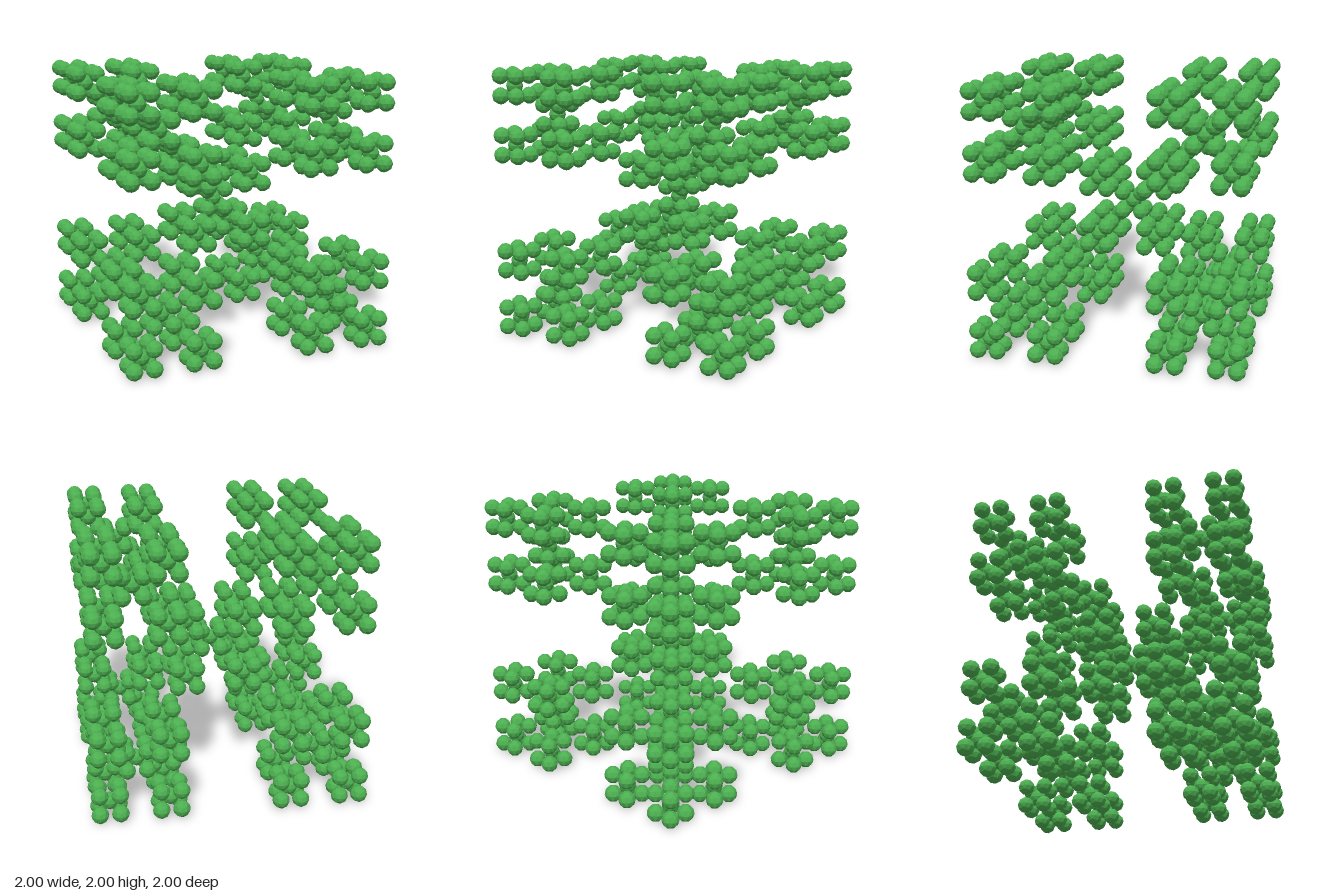
import * as THREE from 'three';
import { mergeGeometries } from 'three/addons/utils/BufferGeometryUtils.js';

// Neighbouring balls touch along the cube diagonals; the whole fits a 2-unit cube.
const STEP_PER_RADIUS = 2 / Math.sqrt(3);
const RADIUS = 1 / (13 * STEP_PER_RADIUS + 1);
const STEP = RADIUS * STEP_PER_RADIUS;

// Centre plus the eight corners of a cube
const OFFSETS = [new THREE.Vector3(0, 0, 0)];
for (const x of [-1, 1])
  for (const y of [-1, 1])
    for (const z of [-1, 1]) OFFSETS.push(new THREE.Vector3(x, y, z));

// Repeats the nine-point pattern, three times smaller at each level
function fractalPoints(center, step, levels) {
  if (levels === 0) return [center];
  return OFFSETS.flatMap((o) =>
    fractalPoints(center.clone().addScaledVector(o, step), step / 3, levels - 1));
}

export function createModel() {
  const model = new THREE.Group();
  model.name = 'ballFractal';
  const green = new THREE.MeshStandardMaterial({ color: 0x4caf50, flatShading: true });

  // Low-poly ball with flat facets
  const ball = new THREE.OctahedronGeometry(RADIUS, 2);
  ball.computeVertexNormals();

  // One core cluster and eight corner clusters of 81 balls each
  const names = ['coreCluster'];
  for (const x of ['Right', 'Left'])
    for (const y of ['lower', 'upper'])
      for (const z of ['Back', 'Front']) names.push(y + z + x + 'Cluster');

  OFFSETS.forEach((o, i) => {
    const points = fractalPoints(new THREE.Vector3(), STEP * 3, 2);
    const balls = points.map((p) => ball.clone().translate(p.x, p.y, p.z));
    const cluster = new THREE.Mesh(mergeGeometries(balls), green);
    cluster.name = names[i];
    cluster.position.copy(o).multiplyScalar(STEP * 9);
    cluster.position.y += 1;
    model.add(cluster);
  });
  return model;
}
